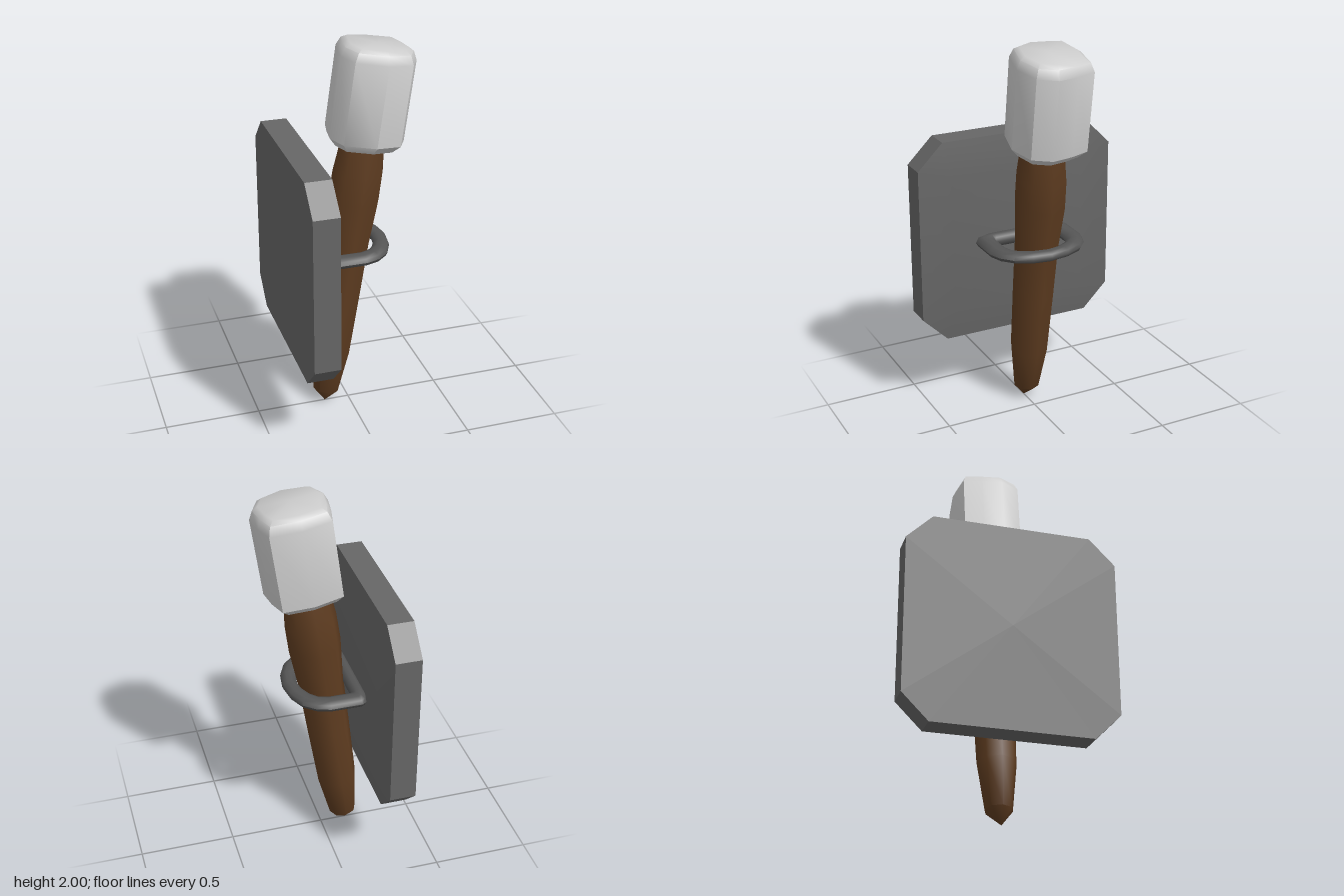
import * as THREE from 'three';
import { toCreasedNormals } from 'three/addons/utils/BufferGeometryUtils.js';

const V = (x, y, z) => new THREE.Vector3(x, y, z);

// Skin a list of equal-length rings; each ring turns counter-clockwise about the sweep direction.
function loft(rings, crease, loop = false) {
  const n = rings[0].length, index = [];
  const last = loop ? rings.length : rings.length - 1;
  for (let i = 0; i < last; i++) {
    const k = (i + 1) % rings.length;
    for (let j = 0; j < n; j++) {
      const m = (j + 1) % n;
      const a = i * n + j, b = i * n + m, c = k * n + m, d = k * n + j;
      index.push(a, b, d, b, c, d);
    }
  }
  const geo = new THREE.BufferGeometry().setFromPoints(rings.flat());
  geo.setIndex(index);
  return toCreasedNormals(geo, crease);
}

function part(name, geometry, color) {
  const mesh = new THREE.Mesh(geometry, new THREE.MeshStandardMaterial({ color }));
  mesh.name = name;
  return mesh;
}

export function createModel() {
  const model = new THREE.Group();
  model.name = 'wallTorch';

  // Wall plate: chamfered square with a slightly raised front panel
  const a = 0.545, b = 0.41;
  const outline = [[a, -b], [a, b], [b, a], [-b, a], [-a, b], [-a, -b], [-b, -a], [b, -a]];
  const plateRing = (x, limit) => outline.map(([y, z]) =>
    V(x, THREE.MathUtils.clamp(y, -limit, limit), THREE.MathUtils.clamp(z, -limit, limit)));
  const plate = part('wallPlate', loft([
    plateRing(-0.34, 0), plateRing(-0.34, 1), plateRing(-0.205, 1),
    plateRing(-0.18, 0.365), plateRing(-0.18, 0),
  ], 0.5), 0x666666);
  plate.position.y = 0.945;
  model.add(plate);

  // Holder ring: stations [outer x, outer z, inner x, inner z, half height], front to back
  const half = [
    [0.205, 0, 0.125, 0, 0.03],
    [0.19, 0.1, 0.113, 0.065, 0.03],
    [0.15, 0.188, 0.088, 0.115, 0.03],
    [0.09, 0.24, 0.055, 0.15, 0.03],
    [0.02, 0.263, 0.01, 0.165, 0.03],
    [-0.145, 0.263, -0.105, 0.165, 0.031],
    [-0.167, 0.247, -0.108, 0.165, 0.034],
    [-0.18, 0.2, -0.11, 0.165, 0.036],
    [-0.18, 0.16, -0.11, 0.16, 0.037],
  ];
  const mirrored = half.slice(1).reverse().map(([ox, oz, ix, iz, h]) => [ox, -oz, ix, -iz, h]);
  const sides = 10;
  const ringSections = [...half, ...mirrored].map(([ox, oz, ix, iz, h]) =>
    Array.from({ length: sides }, (_, j) => {
      const t = (j / sides) * Math.PI * 2, w = (1 + Math.cos(t)) / 2;
      return V(ix + (ox - ix) * w, h * Math.sin(t), iz + (oz - iz) * w);
    }));
  const ring = part('holderRing', loft(ringSections, 0.9, true), 0x555555);
  ring.position.y = 0.945;
  model.add(ring);

  // Torch: handle and head share one leaning axis
  const torch = new THREE.Group();
  torch.name = 'torch';
  torch.position.set(-0.13, 0.01, 0);
  torch.rotation.z = -0.14;
  model.add(torch);

  // Handle: whittled stick, [height, radius, z offset]
  const stick = [
    [-0.01, 0, 0], [0.065, 0.072, -0.01], [0.31, 0.104, -0.01], [0.65, 0.113, -0.01],
    [0.95, 0.119, -0.01], [1.18, 0.136, -0.012], [1.33, 0.134, -0.01], [1.5, 0.115, -0.005],
  ];
  const handleRings = stick.map(([y, r, dz]) => Array.from({ length: 8 }, (_, j) => {
    const t = (j / 8) * Math.PI * 2;
    return V(r * Math.sin(t), y, dz + r * 0.97 * Math.cos(t));
  }));
  torch.add(part('handle', loft(handleRings, 0.9), 0x5e3c20));

  // Head: irregular wrapped block with softened rims, [height, scale]
  const section = [[-0.145, 0.135], [0.015, 0.172], [0.15, 0.135], [0.2, 0.04], [0.185, -0.07],
    [0.155, -0.17], [0, -0.193], [-0.15, -0.17], [-0.172, -0.07], [-0.187, 0.035]];
  const headRings = [[1.475, 0], [1.475, 0.8], [1.515, 1], [1.93, 1], [1.975, 0.9], [1.992, 0.76], [1.997, 0]]
    .map(([y, s]) => section.map(([x, z]) => V(x * s, y, z * s)));
  torch.add(part('head', loft(headRings, 0.7), 0xcccccc));

  return model;
}
